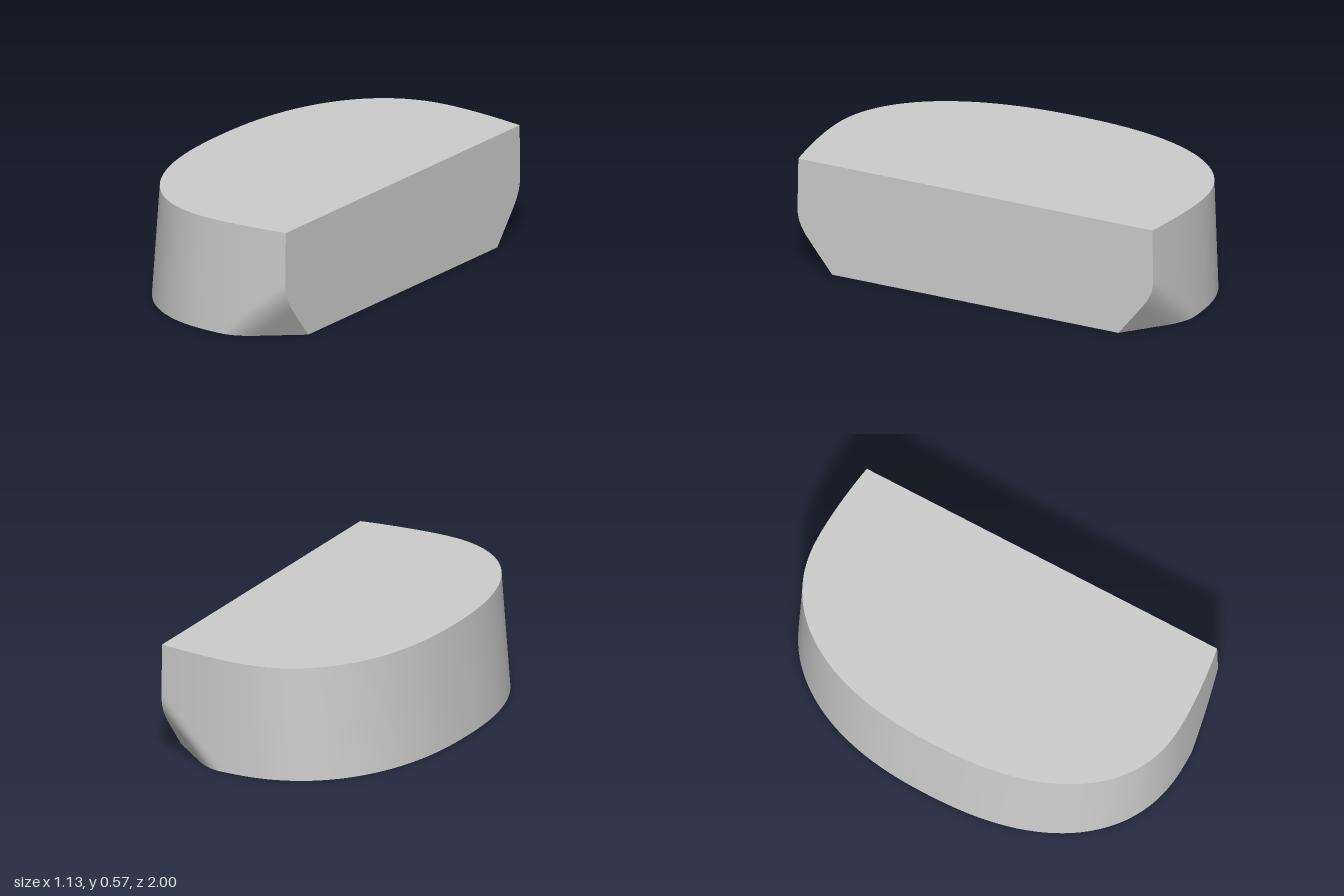
import * as THREE from 'three';

const H = 0.566, FACE = 0.566, MID = 0.165, ROWS = 32, NOSE = 40, SIDE = 28;

// Polynomial smooth minimum, blends the corner cut into the wall
function smoothMin(a, b, k) {
  const h = Math.max(k - Math.abs(a - b), 0) / k;
  return Math.min(a, b) - h * h * k / 4;
}

// Half outline at height y: flat-face corner -> nose (z >= 0)
function halfOutline(y) {
  const t = y / H;
  const a = 0.731 - 0.056 * t, b = 1 - 0.01 * t, pts = [];
  for (let i = 0; i < SIDE; i++) {
    const x = FACE + (MID - FACE) * i / SIDE;
    const wall = b - 0.038 * Math.pow((x - MID) / (FACE - MID), 1.8);
    const cut = 0.77 + 0.83 * (FACE - x) + 0.8 * y;
    pts.push([x, smoothMin(wall, cut, 0.06)]);
  }
  for (let i = 0; i <= NOSE; i++) {
    const q = Math.PI / 2 * (1 - i / NOSE), e = 2 / 2.3;
    pts.push([MID - a * Math.pow(Math.max(Math.cos(q), 0), e), b * Math.pow(Math.sin(q), e)]);
  }
  return pts;
}

// Full outline, mirrored across z = 0
function ring(y) {
  const half = halfOutline(y);
  const back = half.slice(0, -1).reverse().map(([x, z]) => [x, -z]);
  return half.concat(back).map(([x, z]) => new THREE.Vector3(x, y, z));
}

function makeMesh(name, points, index) {
  const g = new THREE.BufferGeometry().setFromPoints(points);
  g.setIndex(index);
  g.computeVertexNormals();
  const mesh = new THREE.Mesh(g, new THREE.MeshStandardMaterial({ color: 0xcccccc }));
  mesh.name = name;
  return mesh;
}

// Flat face filled from a centre point
function fan(name, loop, centre, flip) {
  const n = loop.length, index = [];
  for (let i = 0; i < n; i++) {
    const j = (i + 1) % n;
    index.push(n, flip ? j : i, flip ? i : j);
  }
  return makeMesh(name, [...loop, centre], index);
}

export function createModel() {
  const group = new THREE.Group();
  group.name = 'roundedBlock';
  const rings = [];
  for (let j = 0; j <= ROWS; j++) rings.push(ring(H * j / ROWS));

  // Tapered curved wall with the two lower corner cuts
  const n = rings[0].length, index = [];
  for (let j = 0; j < ROWS; j++) {
    for (let i = 0; i < n - 1; i++) {
      const a = j * n + i;
      index.push(a, a + n, a + 1, a + 1, a + n, a + n + 1);
    }
  }
  group.add(makeMesh('curvedWall', rings.flat(), index));

  // Top, bottom and flat end face
  group.add(fan('topFace', rings[ROWS], new THREE.Vector3(0.1, H, 0), true));
  group.add(fan('bottomFace', rings[0], new THREE.Vector3(0.1, 0, 0), false));
  const edge = rings.map(r => r[0]).concat(rings.map(r => r[n - 1]).reverse());
  group.add(fan('flatSide', edge, new THREE.Vector3(FACE, H / 2, 0), true));
  return group;
}
